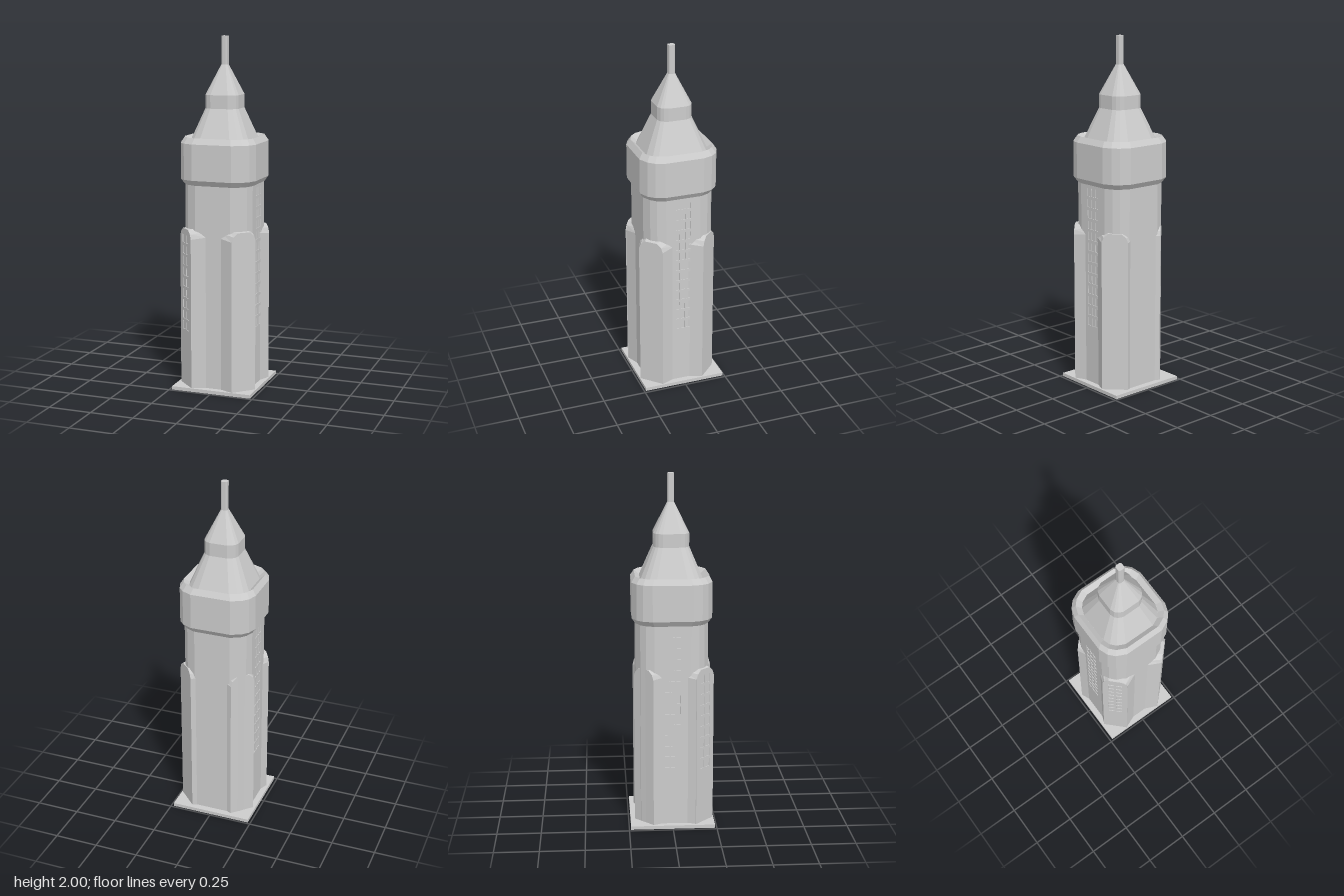
import * as THREE from 'three';

const material = new THREE.MeshStandardMaterial({ color: 0xcccccc, flatShading: true, side: THREE.DoubleSide });

// One quadrant of the rounded-square plan, scaled to a half width of 1
const QUADRANT = [[1, 0.505], [0.915, 0.74], [0.775, 0.895], [0.52, 1.015]];
const SECTION = [
  ...QUADRANT,
  ...QUADRANT.map(([x, z]) => [-x, z]).reverse(),
  ...QUADRANT.map(([x, z]) => [-x, -z]),
  ...QUADRANT.map(([x, z]) => [x, -z]).reverse(),
];

function addMesh(parent, name, geometry) {
  const mesh = new THREE.Mesh(geometry, material);
  mesh.name = name;
  parent.add(mesh);
  return mesh;
}

// Skins a stack of equal-length rings and caps both ends
function loft(rings) {
  const n = rings[0].length;
  const points = rings.flat();
  const index = [];
  for (let r = 0; r < rings.length - 1; r++) {
    for (let i = 0; i < n; i++) {
      const j = (i + 1) % n, a = r * n, b = a + n;
      index.push(a + i, b + i, a + j, a + j, b + i, b + j);
    }
  }
  const last = (rings.length - 1) * n;
  for (let i = 1; i < n - 1; i++) {
    index.push(0, i, i + 1);
    index.push(last, last + i + 1, last + i);
  }
  const indexed = new THREE.BufferGeometry().setFromPoints(points);
  indexed.setIndex(index);
  const geometry = indexed.toNonIndexed();
  geometry.computeVertexNormals();
  return geometry;
}

// Stacks the plan at [height, half width] levels
const stack = (levels) => loft(levels.map(([y, s]) => SECTION.map(([x, z]) => new THREE.Vector3(x * s, y, z * s))));

const shapeFrom = (pairs) => new THREE.Shape(pairs.map(([x, y]) => new THREE.Vector2(x, y)));

// Thin plate in the XY plane with a grid of window openings
function windowPlate(outline, columns, rows, pitchX, width, firstY, depth) {
  const pitchY = 0.063, height = 0.046;
  const shape = shapeFrom(outline);
  for (let c = 0; c < columns; c++) {
    for (let r = 0; r < rows; r++) {
      const x = (c - (columns - 1) / 2) * pitchX - width / 2;
      const y = firstY + r * pitchY;
      shape.holes.push(new THREE.Path([
        new THREE.Vector2(x, y), new THREE.Vector2(x, y + height),
        new THREE.Vector2(x + width, y + height), new THREE.Vector2(x + width, y),
      ]));
    }
  }
  return new THREE.ExtrudeGeometry(shape, { depth, bevelEnabled: false });
}

// Upright outline with a clipped top, of half width h and height top
const buttressOutline = (h, top) => [
  [-h, 0.01], [-h, top - 0.05], [-0.85 * h, top - 0.022], [-0.5 * h, top],
  [0.5 * h, top], [0.85 * h, top - 0.022], [h, top - 0.05], [h, 0.01],
];

export function createModel() {
  const tower = new THREE.Group();
  tower.name = 'tower';
  const recess = 0.004;

  // Ground slab
  addMesh(tower, 'basePlate', new THREE.BoxGeometry(0.47, 0.02, 0.48)).position.y = 0.01;

  // Shaft, with a shallow bay on each side that receives a window plate
  const half = 0.2, bay = 0.1;
  const plan = SECTION.map(([x, z]) => [x * half, z * half]);
  const right = [[half, -bay], [half - recess, -bay], [half - recess, bay], [half, bay]];
  const left = right.map(([x, z]) => [-x, -z]);
  const shaftPlan = [...right, ...plan.slice(0, 8), ...left, ...plan.slice(8)];
  const shaft = new THREE.ExtrudeGeometry(shapeFrom(shaftPlan), { depth: 1.18, bevelEnabled: false });
  shaft.rotateX(-Math.PI / 2);
  addMesh(tower, 'shaft', shaft).position.y = 0.02;

  for (const side of [1, -1]) {
    const outline = [[-bay, 0.02], [bay, 0.02], [bay, 1.2], [-bay, 1.2]];
    const plate = addMesh(tower, side > 0 ? 'leftWindows' : 'rightWindows',
      windowPlate(outline, 3, 13, 0.032, 0.024, 0.36, recess));
    plate.rotation.y = side * Math.PI / 2;
    plate.position.x = side * (half - recess);
  }

  // Corner buttresses; one of them has windows
  const names = ['frontLeftButtress', 'backLeftButtress', 'backRightButtress', 'frontRightButtress'];
  names.forEach((name, k) => {
    const buttress = new THREE.Group();
    buttress.name = name;
    buttress.rotation.y = Math.PI / 4 + k * Math.PI / 2;
    buttress.position.set(0.004, 0, 0.011);
    const windowed = k === 3;
    const face = 0.245;
    const outer = buttressOutline(0.0735, 0.93);
    const inner = buttressOutline(0.107, 0.942);
    const ring = (outline, z) => outline.map(([x, y]) => new THREE.Vector3(x, y, z));
    addMesh(buttress, 'buttressBody', loft([ring(inner, 0.16), ring(outer, windowed ? face - recess : face)]));
    if (windowed) {
      addMesh(buttress, 'buttressWindows', windowPlate(outer, 2, 9, 0.046, 0.034, 0.345, recess))
        .position.z = face - recess;
    }
    tower.add(buttress);
  });

  // Wide collar with a rim that slopes down inwards
  addMesh(tower, 'collar', stack([[1.18, 0.201], [1.21, 0.221], [1.412, 0.221], [1.444, 0.201], [1.42, 0.173]]));

  // Two-stage spire and mast
  addMesh(tower, 'spire', stack([[1.41, 0.177], [1.6, 0.098], [1.675, 0.098], [1.84, 0.019]]));
  addMesh(tower, 'mast', stack([[1.83, 0.0185], [2, 0.0185]]));

  return tower;
}
